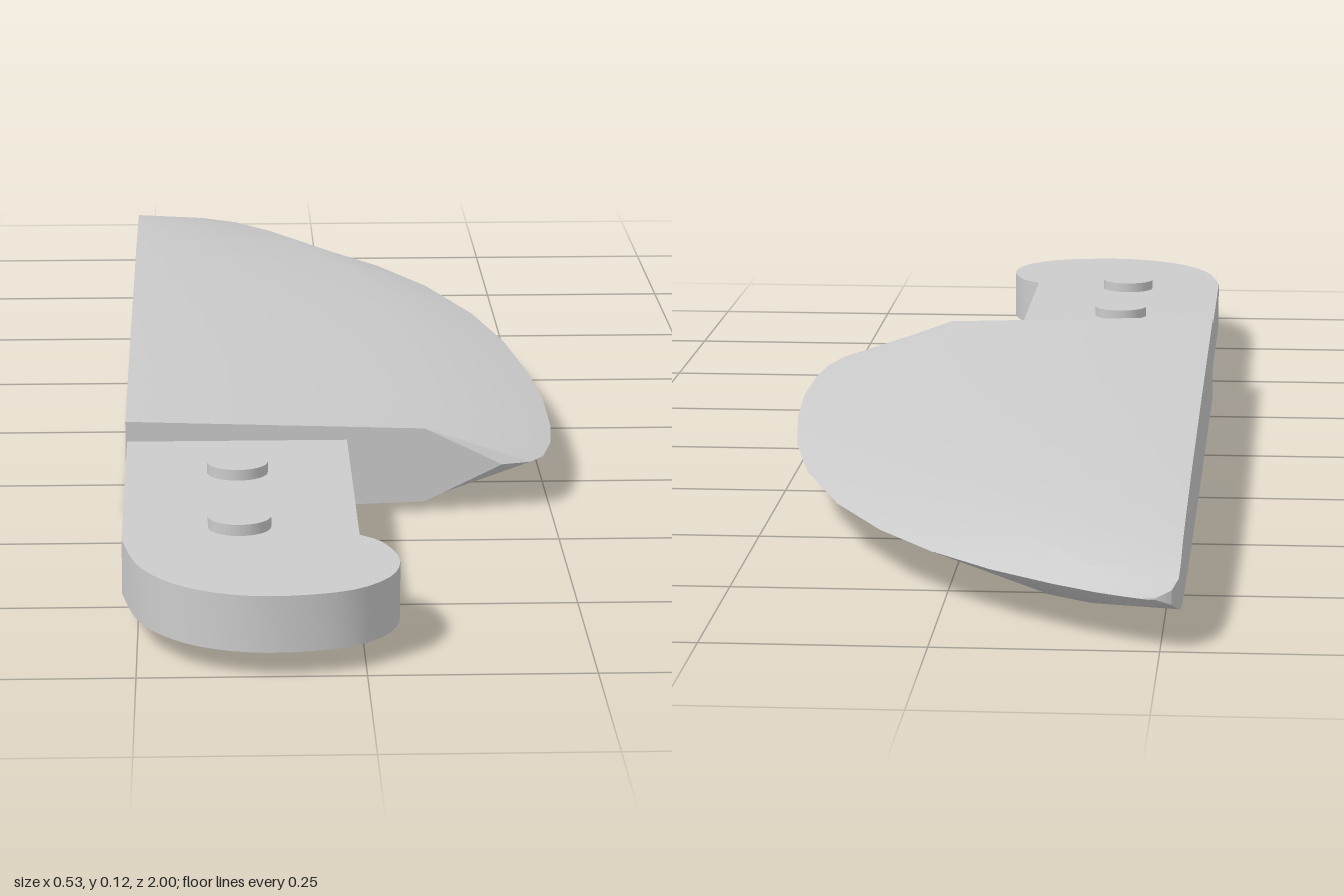
import * as THREE from 'three';
import { toCreasedNormals } from 'three/addons/utils/BufferGeometryUtils.js';

const MID = 0.06; // height of the cutting edge
const material = new THREE.MeshStandardMaterial({ color: 0xcccccc });

function addMesh(parent, geometry, name) {
  const mesh = new THREE.Mesh(geometry, material);
  mesh.name = name;
  parent.add(mesh);
  return mesh;
}

// Five-sided cross-sections from heel to tip: z, spine x, edge x, half thickness at the spine
function bladeGeometry() {
  const sections = [
    [0.375, -0.27, 0.19, 0.058], [0.365, -0.27, 0.225, 0.058],
    [0.34, -0.27, 0.243, 0.058], [0.28, -0.27, 0.257, 0.0575],
    [0.2, -0.27, 0.264, 0.057], [0.07, -0.27, 0.265, 0.056],
    [-0.07, -0.27, 0.256, 0.055], [-0.24, -0.27, 0.236, 0.053],
    [-0.4, -0.27, 0.203, 0.05], [-0.57, -0.27, 0.147, 0.047],
    [-0.7, -0.27, 0.083, 0.043], [-0.8, -0.27, 0.015, 0.039],
    [-0.88, -0.27, -0.058, 0.034], [-0.94, -0.27, -0.13, 0.026],
    [-0.975, -0.269, -0.18, 0.017], [-0.992, -0.262, -0.212, 0.008],
    [-1, -0.245, -0.23, 0.001],
  ];
  const positions = [];
  const index = [];
  for (const [z, spine, edge, half] of sections) {
    const bevel = z > 0.3 ? 0.095 : spine + (edge - spine) * 0.69;
    positions.push(
      spine, MID + half, z, bevel, MID + half * 0.8, z, edge, MID, z,
      bevel, MID - half * 0.8, z, spine, MID - half, z);
  }
  for (let i = 0; i < sections.length - 1; i++) {
    for (let k = 0; k < 5; k++) {
      const a = i * 5 + k, b = i * 5 + (k + 1) % 5;
      index.push(a, b, b + 5, a, b + 5, a + 5);
    }
  }
  // Heel and tip caps
  const last = (sections.length - 1) * 5;
  for (let k = 1; k < 4; k++) {
    index.push(0, k + 1, k, last, last + k, last + k + 1);
  }
  const geometry = new THREE.BufferGeometry();
  geometry.setAttribute('position', new THREE.Float32BufferAttribute(positions, 3));
  geometry.setIndex(index);
  return toCreasedNormals(geometry, Math.PI / 6);
}

// Flat grip with a rounded, slightly hooked butt, drawn in x and z
function handleGeometry() {
  const shape = new THREE.Shape();
  shape.moveTo(-0.268, 0.36);
  shape.lineTo(0, 0.36);
  shape.lineTo(0, 0.775);
  shape.splineThru([
    [0.025, 0.805], [0.041, 0.87], [0.027, 0.935], [-0.02, 0.983],
    [-0.1, 1], [-0.165, 0.985], [-0.215, 0.945], [-0.25, 0.88], [-0.268, 0.785],
  ].map(([x, z]) => new THREE.Vector2(x, z)));
  const geometry = new THREE.ExtrudeGeometry(shape, {
    depth: 0.064, bevelEnabled: false, curveSegments: 3,
  });
  geometry.rotateX(Math.PI / 2);
  geometry.translate(0, 0.093, 0);
  return toCreasedNormals(geometry, Math.PI / 6);
}

export function createModel() {
  const knife = new THREE.Group();
  knife.name = 'knife';
  addMesh(knife, bladeGeometry(), 'blade');
  addMesh(knife, handleGeometry(), 'handle');

  // Rivets pass through the grip and stand proud on both sides
  [0.515, 0.74].forEach((z, i) => {
    const rivet = addMesh(knife, new THREE.CylinderGeometry(0.036, 0.036, 0.092, 24), `rivet${i + 1}`);
    rivet.position.set(-0.135, MID, z);
  });
  return knife;
}
